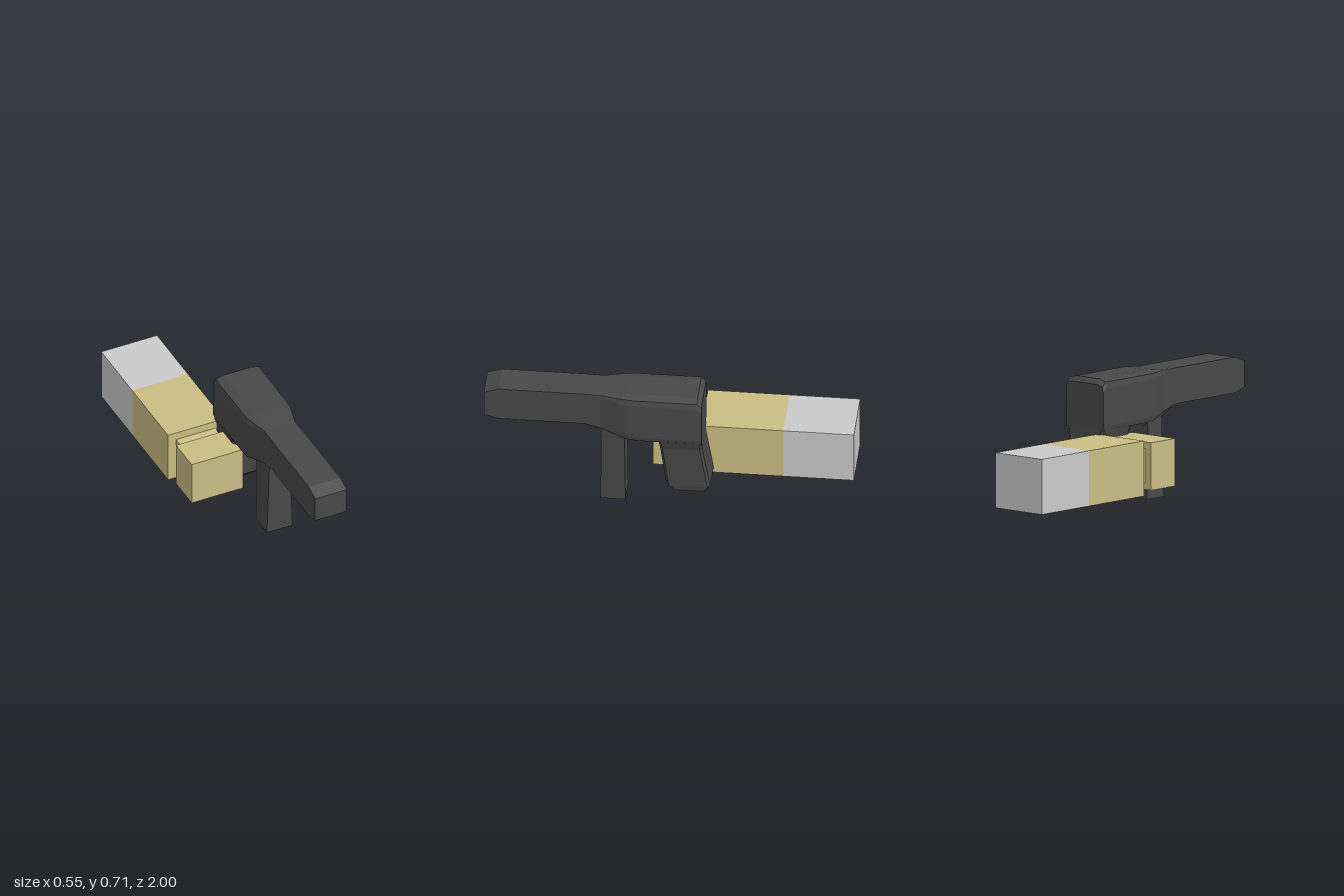
import * as THREE from 'three';

const CX = 0.137; // centre plane of the gun

const mat = (name, color) => {
  const m = new THREE.MeshStandardMaterial({ color, flatShading: true });
  m.name = name;
  return m;
};

// Skin a closed solid through rings of equal point count, with fan caps.
function loft(rings) {
  const n = rings[0].length, tris = [];
  const tri = (a, b, c) => tris.push([a, b, c]);
  for (let r = 0; r < rings.length - 1; r++) {
    for (let i = 0; i < n; i++) {
      const j = (i + 1) % n, a = rings[r], b = rings[r + 1];
      tri(a[i], a[j], b[j]);
      tri(a[i], b[j], b[i]);
    }
  }
  const first = rings[0], last = rings[rings.length - 1];
  for (let i = 1; i < n - 1; i++) {
    tri(first[0], first[i + 1], first[i]);
    tri(last[0], last[i], last[i + 1]);
  }
  // Turn the faces outward whichever way the rings run
  let volume = 0;
  for (const [a, b, c] of tris) volume += a.dot(b.clone().cross(c));
  const points = tris.flatMap(([a, b, c]) => (volume < 0 ? [a, c, b] : [a, b, c]));
  const g = new THREE.BufferGeometry().setFromPoints(points);
  g.computeVertexNormals();
  return g;
}

// Upright section of the body: half width w, bevel b (0 = square, 1 = full)
function bodyRing([z, w, top, bottom, b]) {
  const side = [
    [w - 0.052 * b, top],
    [w - 0.008 * b, top - 0.013 * b],
    [w, top - 0.045 * b],
    [w, bottom + 0.025 * b],
    [w - 0.006 * b, bottom],
  ];
  const mirrored = side.map(([x, y]) => [-x, y]).reverse();
  return [...side, ...mirrored].map(([x, y]) => new THREE.Vector3(CX + x, y, z));
}

// Level section of the grip: half width w, between z0 (back) and z1 (front)
function gripRing([y, w, z0, z1]) {
  const c = 0.014;
  return [
    [w - c, z1], [w, z1 - c], [w, z0 + c], [w - c, z0],
    [c - w, z0], [-w, z0 + c], [-w, z1 - c], [c - w, z1],
  ].map(([x, z]) => new THREE.Vector3(CX + x, y, z));
}

// Level section of the foregrip, with its own front and back half widths
function foregripRing([y, wFront, zFront, wBack, zBack]) {
  return [[wFront, zFront], [wBack, zBack], [-wBack, zBack], [-wFront, zFront]]
    .map(([x, z]) => new THREE.Vector3(CX - 0.001 + x, y, z));
}

export function createModel() {
  const group = new THREE.Group();
  const dark = mat('darkGrey', 0x484848);
  const brass = mat('brass', 0xcabd83);
  const silver = mat('silver', 0xcacaca);

  const add = (name, geometry, material) => {
    const mesh = new THREE.Mesh(geometry, material);
    mesh.name = name;
    group.add(mesh);
    return mesh;
  };

  // Barrel flowing into the receiver: z, half width, top, bottom, bevel
  add('body', loft([
    [1.0, 0.095, 0.673, 0.525, 0],
    [0.92, 0.095, 0.7, 0.503, 0],
    [0.45, 0.095, 0.7, 0.503, 0],
    [0.36, 0.097, 0.702, 0.478, 0.3],
    [0.23, 0.135, 0.713, 0.443, 1],
    [0.17, 0.138, 0.713, 0.437, 1],
    [-0.165, 0.138, 0.713, 0.433, 1],
    [-0.19, 0.135, 0.685, 0.433, 0.8],
  ].map(bodyRing)), dark);

  // Raked rear grip: y, half width, back z, front z
  add('grip', loft([
    [0.104, 0.107, -0.21, -0.03],
    [0.14, 0.115, -0.235, 0.004],
    [0.385, 0.119, -0.193, 0.038],
    [0.44, 0.134, -0.19, 0.047],
  ].map(gripRing)), dark);

  // Foregrip flaring into the underside of the barrel
  add('foregrip', loft([
    [0, 0.077, 0.365, 0.077, 0.23],
    [0.4, 0.063, 0.365, 0.078, 0.235],
    [0.44, 0.062, 0.365, 0.085, 0.21],
    [0.505, 0.08, 0.45, 0.085, 0.2],
  ].map(foregripRing)), dark);

  // Square cartridge: half width, half height, back z, front z
  const block = (name, w, h, z0, z1, material) =>
    add(name, new THREE.BoxGeometry(w * 2, h * 2, z1 - z0), material)
      .position.set(-0.109, 0.257, (z0 + z1) / 2);
  block('cartridgeTip', 0.168, 0.152, -1, -0.615, silver);
  block('cartridgeCase', 0.168, 0.152, -0.615, -0.17, brass);
  block('cartridgeRim', 0.155, 0.131, -0.097, 0.097, brass);

  // Groove between case and rim, slightly tapered
  const neck = [[-0.172, 0.122, 0.107], [-0.095, 0.108, 0.094]].map(([z, w, h]) =>
    [[w, h], [-w, h], [-w, -h], [w, -h]].map(([x, y]) => new THREE.Vector3(x - 0.109, y + 0.257, z)));
  add('cartridgeNeck', loft(neck), brass);

  return group;
}
